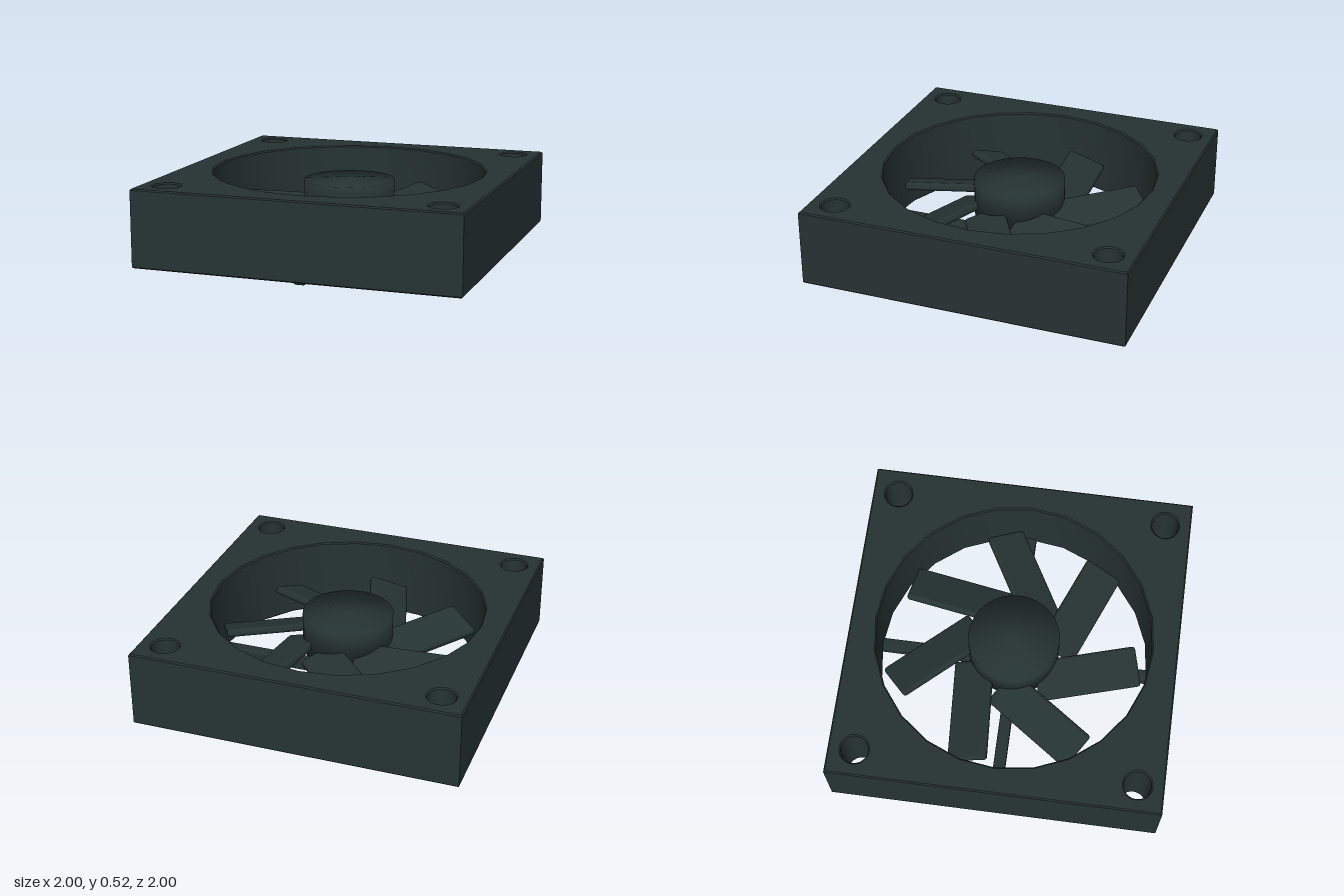
import * as THREE from 'three';
import { mergeVertices, toCreasedNormals } from 'three/addons/utils/BufferGeometryUtils.js';
import { RoundedBoxGeometry } from 'three/addons/geometries/RoundedBoxGeometry.js';

const FRAME_BOTTOM = 0.045, FRAME_TOP = 0.52, BEVEL = 0.008;

const darkPlastic = new THREE.MeshStandardMaterial({ color: 0x263333 });
darkPlastic.name = 'darkPlastic';

function part(name, geometry, parent) {
  const mesh = new THREE.Mesh(geometry, darkPlastic);
  mesh.name = name;
  parent.add(mesh);
  return mesh;
}

// Square housing with a 24-sided airway and four screw holes
function frameGeometry() {
  const shape = new THREE.Shape([[-1, -1], [1, -1], [1, 1], [-1, 1]].map(([x, y]) => new THREE.Vector2(x, y)));
  const addHole = (x, y, r) => shape.holes.push(new THREE.Path().absarc(x, y, r, 0, Math.PI * 2, true));
  addHole(0, 0, 0.842);
  for (const x of [-0.84, 0.84]) for (const y of [-0.84, 0.84]) addHole(x, y, 0.083);
  const geometry = new THREE.ExtrudeGeometry(shape, {
    depth: FRAME_TOP - FRAME_BOTTOM - 2 * BEVEL, curveSegments: 12,
    bevelThickness: BEVEL, bevelSize: BEVEL, bevelOffset: -BEVEL, bevelSegments: 1,
  });
  geometry.rotateX(-Math.PI / 2).translate(0, FRAME_BOTTOM + BEVEL, 0);
  return toCreasedNormals(geometry, 0.5);
}

// Cylinder with shared rim normals, so it shades as a soft button
function hubGeometry() {
  const geometry = new THREE.CylinderGeometry(0.28, 0.28, 0.24, 32);
  geometry.deleteAttribute('normal');
  geometry.deleteAttribute('uv');
  const merged = mergeVertices(geometry);
  merged.computeVertexNormals();
  return merged;
}

export function createModel() {
  const model = new THREE.Group();
  model.name = 'coolingFan';

  part('frame', frameGeometry(), model);

  // Crossed support bars under the airway
  const bar = new RoundedBoxGeometry(1.76, 0.075, 0.075, 2, 0.014);
  for (let i = 0; i < 2; i++) {
    const mesh = part('supportBar', bar, model);
    mesh.position.y = 0.0375;
    mesh.rotation.y = i * Math.PI / 2;
  }

  // Rotor: hub and seven pitched blades set to one side of the radius
  const rotor = new THREE.Group();
  rotor.name = 'rotor';
  model.add(rotor);
  part('hub', hubGeometry(), rotor).position.y = 0.34;

  const blade = new RoundedBoxGeometry(0.635, 0.05, 0.25, 2, 0.02);
  for (let i = 0; i < 7; i++) {
    const arm = new THREE.Group();
    arm.name = 'bladeArm';
    arm.rotation.y = THREE.MathUtils.degToRad(29.4) + i * Math.PI * 2 / 7;
    rotor.add(arm);
    const mesh = part('blade', blade, arm);
    mesh.position.set(0.42, 0.27, 0.237);
    mesh.rotation.x = 0.33;
  }
  return model;
}
